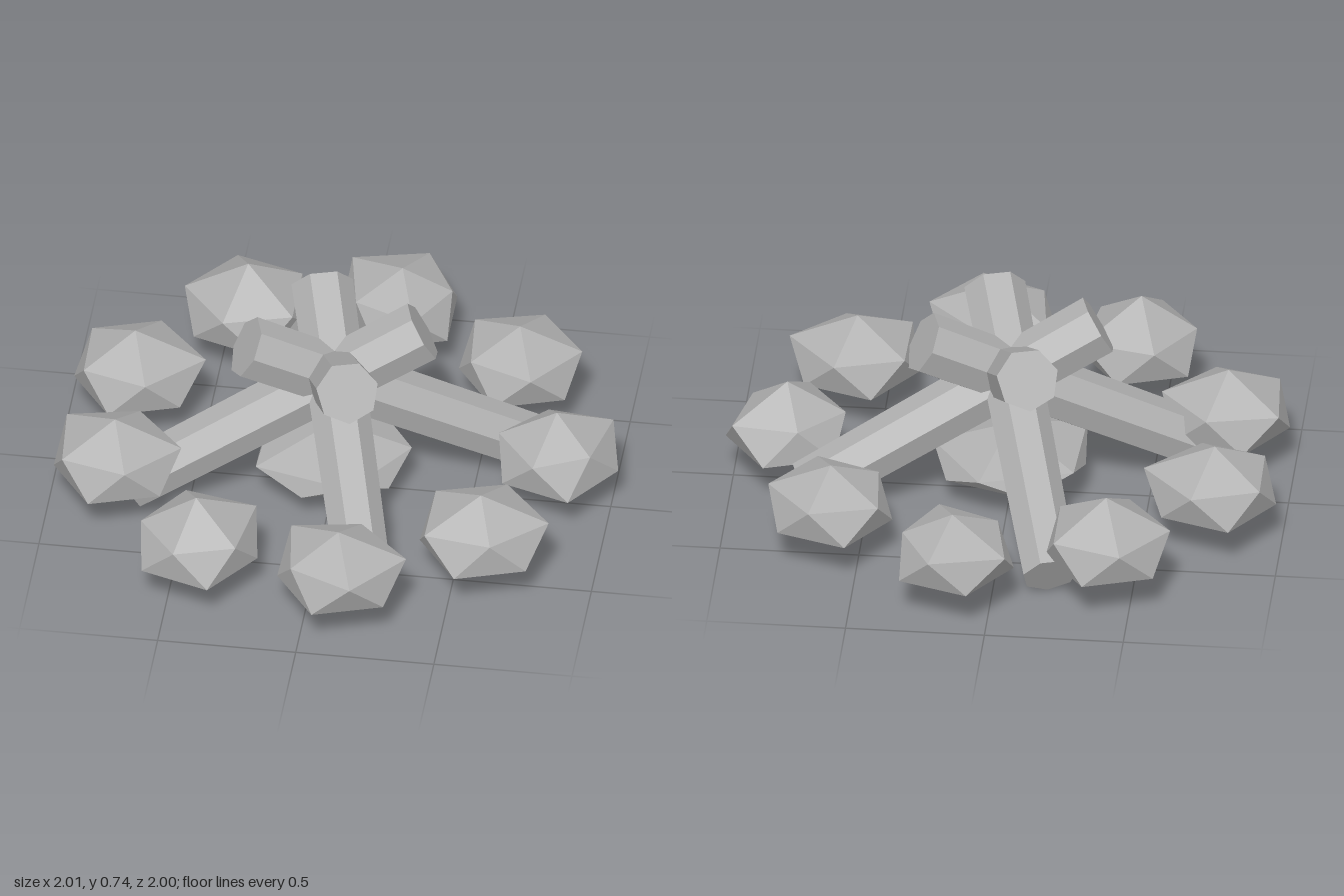
import * as THREE from 'three';
import { ConvexGeometry } from 'three/addons/geometries/ConvexGeometry.js';

// One low-poly boulder: an apex, a ring of five, and a wider flat base ring.
function stoneGeometry({ base, ringY, apexY, radii, baseRadius, phase }) {
  const at = (deg, r, y) => {
    const a = THREE.MathUtils.degToRad(deg);
    return new THREE.Vector3(Math.cos(a) * r, y, Math.sin(a) * r);
  };
  const points = [new THREE.Vector3(0, apexY, 0)];
  radii.forEach((r, i) => {
    const deg = -72 + 72 * i + phase;
    points.push(at(deg, r, ringY), at(deg + 36, baseRadius, base));
  });
  return new ConvexGeometry(points);
}

// Seven-sided log leaning from its outer foot up past the middle.
function logGeometry() {
  const foot = new THREE.Vector3(0.746, 0.1, 0);
  const head = new THREE.Vector3(-0.32, 0.664, 0);
  const axis = head.clone().sub(foot);
  const geo = new THREE.CylinderGeometry(0.114, 0.102, axis.length(), 7);
  axis.normalize();
  const side = new THREE.Vector3(0, 0, 1);
  const under = side.clone().cross(axis);
  const m = new THREE.Matrix4().makeBasis(side, axis, under);
  m.setPosition(foot.add(head).multiplyScalar(0.5));
  const flat = geo.applyMatrix4(m).toNonIndexed();
  flat.computeVertexNormals();
  return flat;
}

export function createModel() {
  const model = new THREE.Group();
  model.name = 'campfire';
  const grey = new THREE.MeshStandardMaterial({ color: 0xb0b0b0 });
  grey.name = 'grey';

  const add = (name, geo) => {
    const mesh = new THREE.Mesh(geo, grey);
    mesh.name = name;
    model.add(mesh);
    return mesh;
  };

  // Four crossed logs
  const log = logGeometry();
  for (let i = 0; i < 4; i++) {
    add('log' + (i + 1), log).rotation.y = 0.285 + (i * Math.PI) / 2;
  }

  // Ring of stones: x, z, apex height, phase, then five upper ring radii
  const ring = [
    [-0.41, -0.695, 0.425, -36, 0.215, 0.22, 0.22, 0.21, 0.23],
    [0.135, -0.797, 0.385, 0, 0.22, 0.18, 0.215, 0.19, 0.25],
    [0.6, -0.513, 0.39, 0, 0.205, 0.225, 0.215, 0.2, 0.225],
    [0.805, 0, 0.415, -36, 0.17, 0.23, 0.165, 0.2, 0.21],
    [0.6, 0.497, 0.4, 0, 0.215, 0.245, 0.18, 0.23, 0.225],
    [0.123, 0.775, 0.395, 0, 0.19, 0.245, 0.225, 0.195, 0.235],
    [-0.405, 0.685, 0.425, -36, 0.21, 0.245, 0.195, 0.19, 0.2],
    [-0.76, 0.246, 0.405, 0, 0.205, 0.24, 0.195, 0.215, 0.24],
    [-0.76, -0.278, 0.405, 0, 0.215, 0.255, 0.2, 0.21, 0.215],
  ];
  ring.forEach(([x, z, apexY, phase, ...radii], i) => {
    const geo = stoneGeometry({ base: 0.175, ringY: 0.3, apexY, radii, baseRadius: 0.222, phase });
    add('ringStone' + (i + 1), geo).position.set(x, 0, z);
  });

  // Low ember mound under the logs
  add('emberMound', stoneGeometry({
    base: 0.13, ringY: 0.2, apexY: 0.29, phase: 0, baseRadius: 0.27,
    radii: [0.29, 0.28, 0.29, 0.32, 0.3],
  }));

  return model;
}
